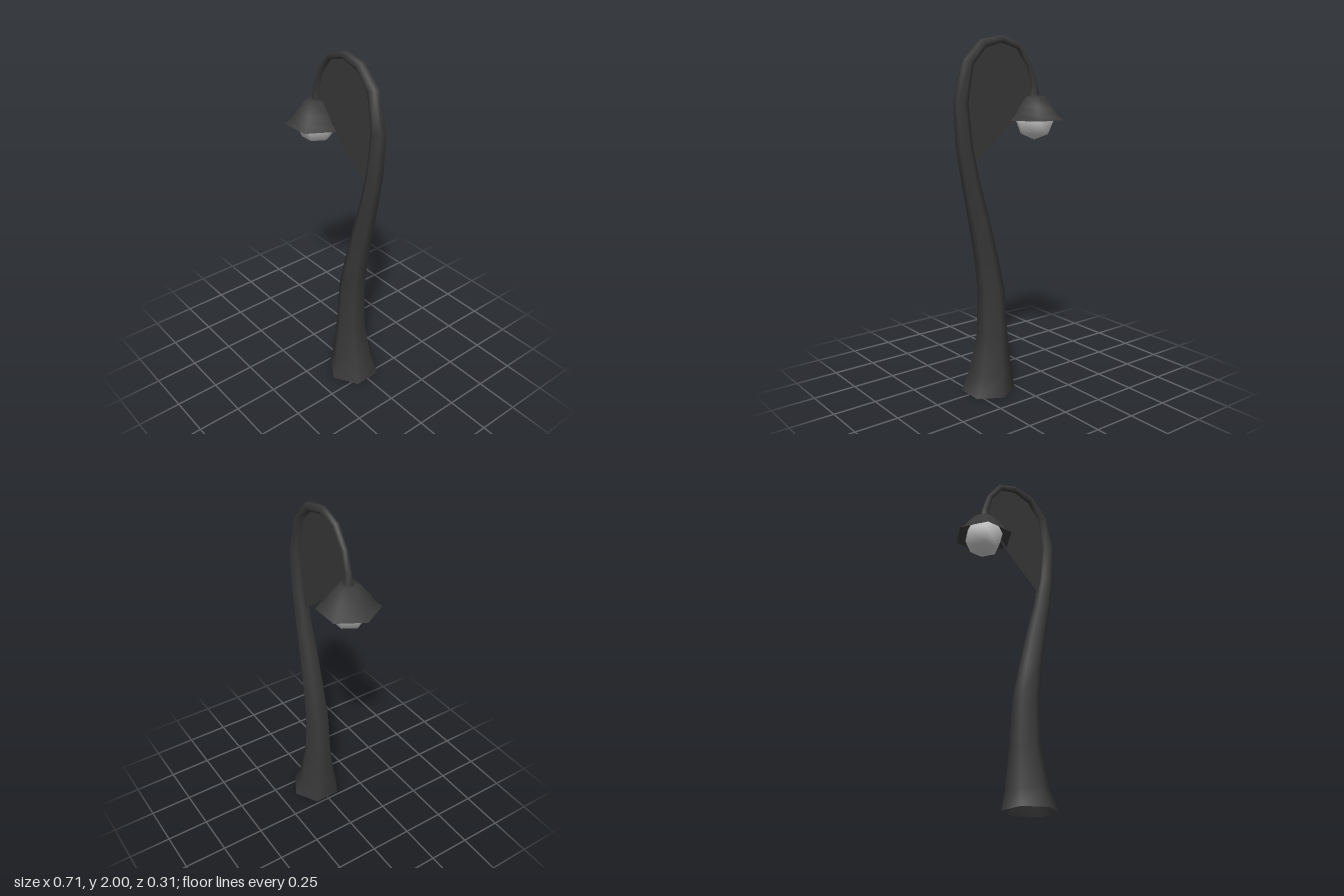
import * as THREE from 'three';

const SIDES = 6;

// Pole stations: centre x, centre y, radius
const STATIONS = [
  [0.15, 0, 0.155], [0.133, 0.11, 0.122], [0.12, 0.34, 0.088], [0.127, 0.595, 0.077],
  [0.157, 0.777, 0.067], [0.207, 1.01, 0.059], [0.26, 1.225, 0.05], [0.297, 1.415, 0.046],
  [0.318, 1.65, 0.041], [0.271, 1.857, 0.034], [0.174, 1.955, 0.028], [0.05, 1.981, 0.023],
  [-0.066, 1.944, 0.02], [-0.143, 1.84, 0.018], [-0.178, 1.732, 0.02], [-0.183, 1.66, 0.03],
];

// Hexagonal tube swept through the stations in the xy plane, open at the foot
function sweepPole() {
  const positions = [], index = [];
  const last = STATIONS.length - 1;
  STATIONS.forEach(([x, y, r], i) => {
    const before = STATIONS[Math.max(i - 1, 0)];
    const after = STATIONS[Math.min(i + 1, last)];
    const tangent = new THREE.Vector2(after[0] - before[0], after[1] - before[1]).normalize();
    if (i === 0) tangent.set(0, 1);
    if (i === last) tangent.set(0, -1);
    for (let k = 0; k < SIDES; k++) {
      const angle = (k / SIDES) * Math.PI * 2;
      const n = r * Math.sin(angle);
      positions.push(x + tangent.y * n, y - tangent.x * n, r * Math.cos(angle));
      if (i < last) {
        const a = i * SIDES + k, b = i * SIDES + (k + 1) % SIDES;
        index.push(a, b, b + SIDES, a, b + SIDES, a + SIDES);
      }
    }
  });
  const geometry = new THREE.BufferGeometry();
  geometry.setAttribute('position', new THREE.Float32BufferAttribute(positions, 3));
  geometry.setIndex(index);
  geometry.computeVertexNormals();
  return geometry;
}

export function createModel() {
  const group = new THREE.Group();
  const iron = new THREE.MeshStandardMaterial({ color: 0x383838, side: THREE.DoubleSide });
  iron.name = 'dark iron';
  const glass = new THREE.MeshStandardMaterial({ color: 0xc8c8c8 });
  glass.name = 'pale glass';

  const add = (name, geometry, material, parent = group) => {
    const mesh = new THREE.Mesh(geometry, material);
    mesh.name = name;
    parent.add(mesh);
    return mesh;
  };

  add('pole', sweepPole(), iron);

  // Thin web filling the inside of the arch
  const outline = [[0.268, 1.29], ...STATIONS.slice(7)].map(([x, y]) => new THREE.Vector2(x, y));
  add('archPanel', new THREE.ShapeGeometry(new THREE.Shape(outline)), iron);

  // Lamp head: flared hexagonal shade with a faceted globe beneath
  const lamp = new THREE.Group();
  lamp.name = 'lamp';
  lamp.position.set(-0.185, 1.54, 0);
  group.add(lamp);

  const profile = [[0.172, 0], [0.132, 0.035], [0.108, 0.075], [0.058, 0.132], [0, 0.135]]
    .map(([r, y]) => new THREE.Vector2(r, y));
  add('shade', new THREE.LatheGeometry(profile, SIDES).rotateY(Math.PI / 6), iron, lamp);
  add('globe', new THREE.SphereGeometry(0.117, SIDES, 4), glass, lamp).scale.y = 0.98;

  return group;
}
